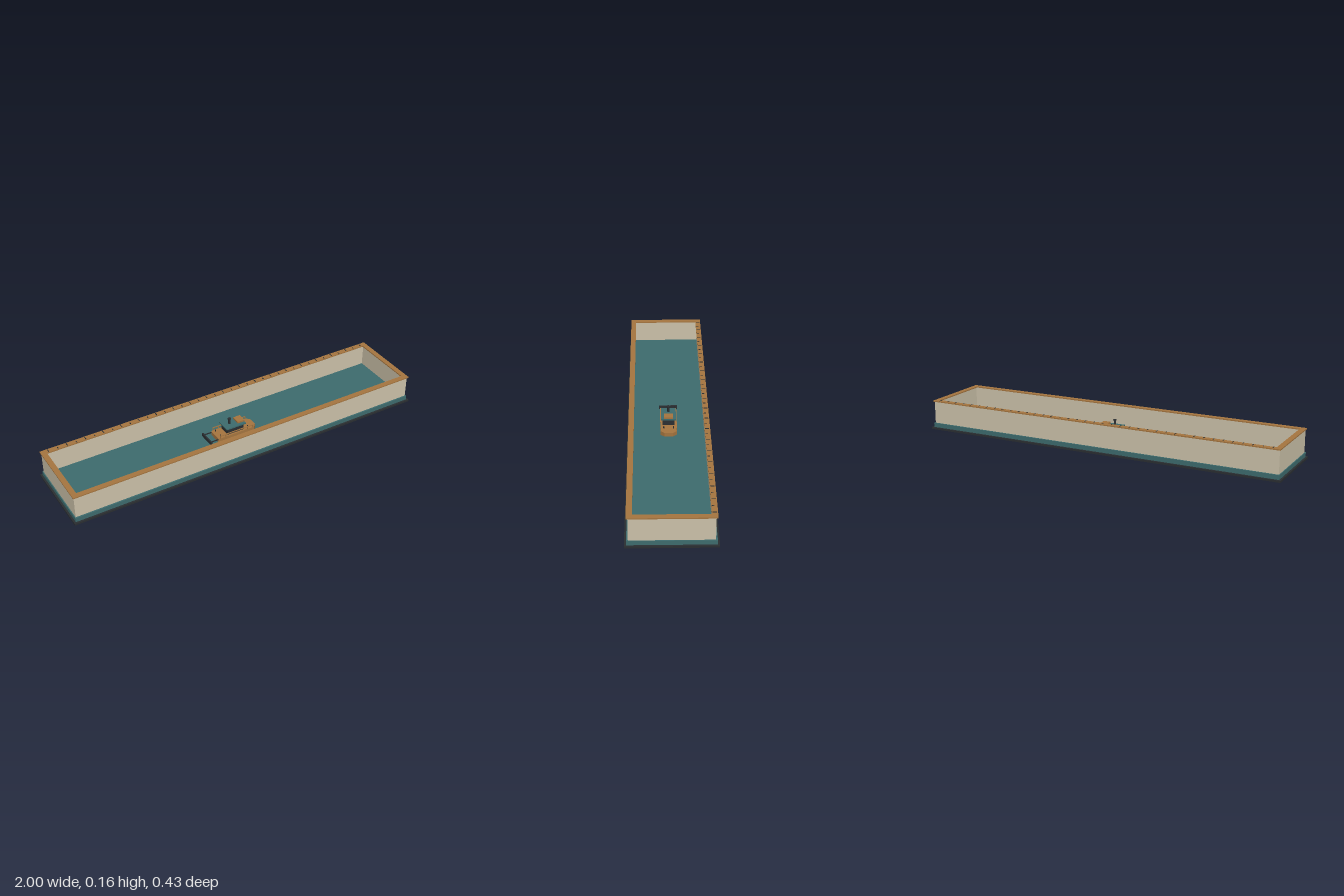
import * as THREE from 'three';

const mat = (name, color) => {
  const m = new THREE.MeshStandardMaterial({ color });
  m.name = name;
  return m;
};

export function createModel() {
  const root = new THREE.Group();
  root.name = 'basinWithBoat';
  const dark = mat('charcoal', 0x2a2e31);
  const teal = mat('teal', 0x3d6b6d);
  const stone = mat('sandstone', 0xcbc1a9);
  const wood = mat('wood', 0xa5753f);

  const add = (parent, name, geo, m, x = 0, y = 0, z = 0) => {
    const mesh = new THREE.Mesh(geo, m);
    mesh.name = name;
    mesh.position.set(x, y, z);
    parent.add(mesh);
    return mesh;
  };
  // Box given by its ranges on each axis
  const box = (parent, name, m, x0, x1, y0, y1, z0, z1) =>
    add(parent, name, new THREE.BoxGeometry(x1 - x0, y1 - y0, z1 - z0), m,
      (x0 + x1) / 2, (y0 + y1) / 2, (z0 + z1) / 2);
  // Flat outline in x/z raised upward
  const raise = (shape, depth) =>
    new THREE.ExtrudeGeometry(shape, { depth, bevelEnabled: false }).rotateX(-Math.PI / 2);
  const rect = (C, x, z) => {
    const s = new C();
    s.moveTo(-x, -z).lineTo(x, -z).lineTo(x, z).lineTo(-x, z).closePath();
    return s;
  };
  const frame = (x, z, t, h) => {
    const s = rect(THREE.Shape, x, z);
    s.holes.push(rect(THREE.Path, x - t, z - t));
    return raise(s, h);
  };

  // Basin
  box(root, 'basePlate', dark, -1, 1, 0, 0.01, -0.215, 0.215);
  box(root, 'waterSlab', teal, -0.99, 0.99, 0.01, 0.033, -0.205, 0.205);
  add(root, 'walls', frame(0.985, 0.197, 0.012, 0.121), stone, 0, 0.033);
  add(root, 'rim', frame(0.99, 0.205, 0.028, 0.006), wood, 0, 0.153);

  // Scale marks along the back rim
  const marks = new THREE.Group();
  marks.name = 'scaleMarks';
  root.add(marks);
  for (let i = 0; i <= 38; i++) {
    const x = -0.95 + i * 0.05;
    const len = i % 2 ? 0.012 : 0.02;
    box(marks, 'scaleMark', dark, x - 0.002, x + 0.002, 0.159, 0.1605, -0.18 - len, -0.18);
  }

  // Boat, bow toward +x
  const boat = new THREE.Group();
  boat.name = 'boat';
  root.add(boat);
  const hull = new THREE.Shape();
  hull.moveTo(-0.11, -0.036).lineTo(-0.1, -0.042).lineTo(0.105, -0.042).lineTo(0.122, -0.022)
    .lineTo(0.122, 0.022).lineTo(0.105, 0.042).lineTo(-0.1, 0.042).lineTo(-0.11, 0.036).closePath();
  add(boat, 'hull', raise(hull, 0.022), wood, 0, 0.033);
  box(boat, 'cabin', dark, -0.05, 0.045, 0.055, 0.09, -0.032, 0.032);
  box(boat, 'roof', teal, -0.06, 0.055, 0.09, 0.097, -0.039, 0.039);
  box(boat, 'wheelhouse', wood, 0.015, 0.055, 0.097, 0.107, -0.024, 0.024);
  add(boat, 'funnel', new THREE.CylinderGeometry(0.006, 0.006, 0.03, 12), dark, -0.022, 0.112);
  add(boat, 'funnelCap', new THREE.CylinderGeometry(0.009, 0.009, 0.005, 12), dark, -0.022, 0.128);

  // Mirrored side fittings
  for (const s of [-1, 1]) {
    box(boat, 'sideRail', wood, -0.1, 0.1, 0.068, 0.072, s * 0.041 - 0.002, s * 0.041 + 0.002);
    for (const x of [-0.098, -0.065, 0.065, 0.098])
      box(boat, 'railPost', wood, x - 0.002, x + 0.002, 0.055, 0.07, s * 0.041 - 0.002, s * 0.041 + 0.002);
    for (const x of [-0.09, 0.075])
      add(boat, 'bollard', new THREE.CylinderGeometry(0.003, 0.003, 0.01, 8), dark, x, 0.06, s * 0.025);
    box(boat, 'sternArm', dark, -0.155, -0.105, 0.046, 0.051, s * 0.036 - 0.002, s * 0.036 + 0.002);
  }
  // Stern beam
  box(boat, 'sternBeam', dark, -0.159, -0.151, 0.036, 0.054, -0.048, 0.048);
  return root;
}
